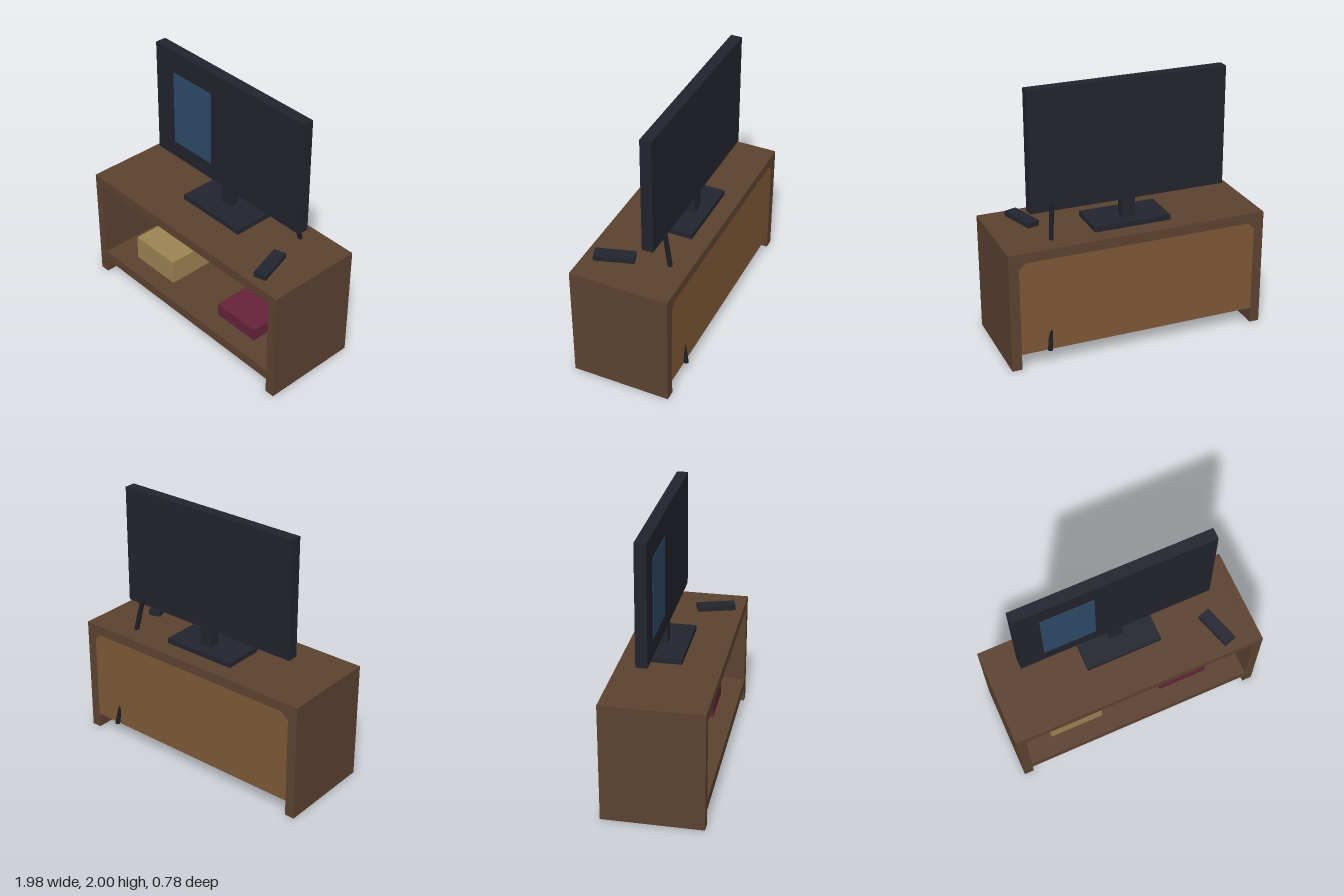
import * as THREE from 'three';

const mat = (name, color) => {
  const m = new THREE.MeshStandardMaterial({ color });
  m.name = name;
  return m;
};

export function createModel() {
  const root = new THREE.Group();
  root.name = 'mediaStand';
  const wood = mat('dark wood', 0x5c4230);
  const backWood = mat('light wood', 0x7d5836);
  const charcoal = mat('charcoal', 0x23232e);
  const plastic = mat('black plastic', 0x23252f);
  const rubber = mat('black rubber', 0x1a1d22);
  const blue = mat('screen blue', 0x2d4a68);
  const straw = mat('straw', 0x9c8452);
  const wine = mat('wine red', 0x66223a);

  // Box given by its minimum and maximum corners
  const box = (name, material, [x0, y0, z0], [x1, y1, z1], parent = root) => {
    const mesh = new THREE.Mesh(new THREE.BoxGeometry(x1 - x0, y1 - y0, z1 - z0), material);
    mesh.position.set((x0 + x1) / 2, (y0 + y1) / 2, (z0 + z1) / 2);
    mesh.name = name;
    parent.add(mesh);
    return mesh;
  };

  // Open-fronted cabinet whose sides run down as legs
  const cabinet = new THREE.Group();
  cabinet.name = 'cabinet';
  root.add(cabinet);
  box('leftSide', wood, [0.915, 0, -0.36], [0.99, 0.91, 0.39], cabinet);
  box('rightSide', wood, [-0.99, 0, -0.36], [-0.915, 0.91, 0.39], cabinet);
  box('cabinetTop', wood, [-0.915, 0.835, -0.36], [0.915, 0.91, 0.39], cabinet);
  box('shelf', wood, [-0.915, 0.12, -0.34], [0.915, 0.2, 0.39], cabinet);
  box('backPanel', backWood, [-0.915, 0.12, -0.36], [0.915, 0.835, -0.34], cabinet);

  // Small corner braces on the outside of the back panel
  for (const s of [-1, 1]) {
    const tri = new THREE.Shape([
      new THREE.Vector2(s * 0.915, 0.835),
      new THREE.Vector2(s * 0.86, 0.835),
      new THREE.Vector2(s * 0.915, 0.79),
    ]);
    const brace = new THREE.Mesh(new THREE.ExtrudeGeometry(tri, { depth: 0.004, bevelEnabled: false }), wood);
    brace.position.z = -0.362;
    brace.name = 'cornerBrace';
    cabinet.add(brace);
  }

  // Boxes on the shelf
  box('storageBox', straw, [-0.69, 0.2, -0.15], [-0.26, 0.4, 0.25]);
  box('flatBox', wine, [0.24, 0.2, -0.08], [0.63, 0.3, 0.24]);

  // Television with stand
  const tv = new THREE.Group();
  tv.name = 'television';
  root.add(tv);
  box('screenBody', charcoal, [-0.75, 1.095, -0.142], [0.75, 2, -0.057], tv);
  box('screenReflection', blue, [-0.56, 1.23, -0.057], [-0.16, 1.825, -0.053], tv);
  box('standNeck', plastic, [-0.05, 0.95, -0.138], [0.05, 1.095, -0.06], tv);
  box('standBase', plastic, [-0.295, 0.91, -0.225], [0.295, 0.95, 0.095], tv);

  // Remote control, turned on the cabinet top
  const remote = box('remoteControl', plastic, [0.662, 0.91, 0.03], [0.758, 0.95, 0.325]);
  remote.rotation.y = 0.3;

  // Straight cable from the television down through the back
  const a = new THREE.Vector3(0.705, 0.12, -0.375);
  const b = new THREE.Vector3(0.597, 1.15, -0.16);
  const dir = b.clone().sub(a);
  const cable = new THREE.Mesh(new THREE.CylinderGeometry(0.018, 0.018, dir.length(), 8), rubber);
  cable.position.copy(a).add(b).multiplyScalar(0.5);
  cable.quaternion.setFromUnitVectors(new THREE.Vector3(0, 1, 0), dir.normalize());
  cable.name = 'cable';
  root.add(cable);

  return root;
}
